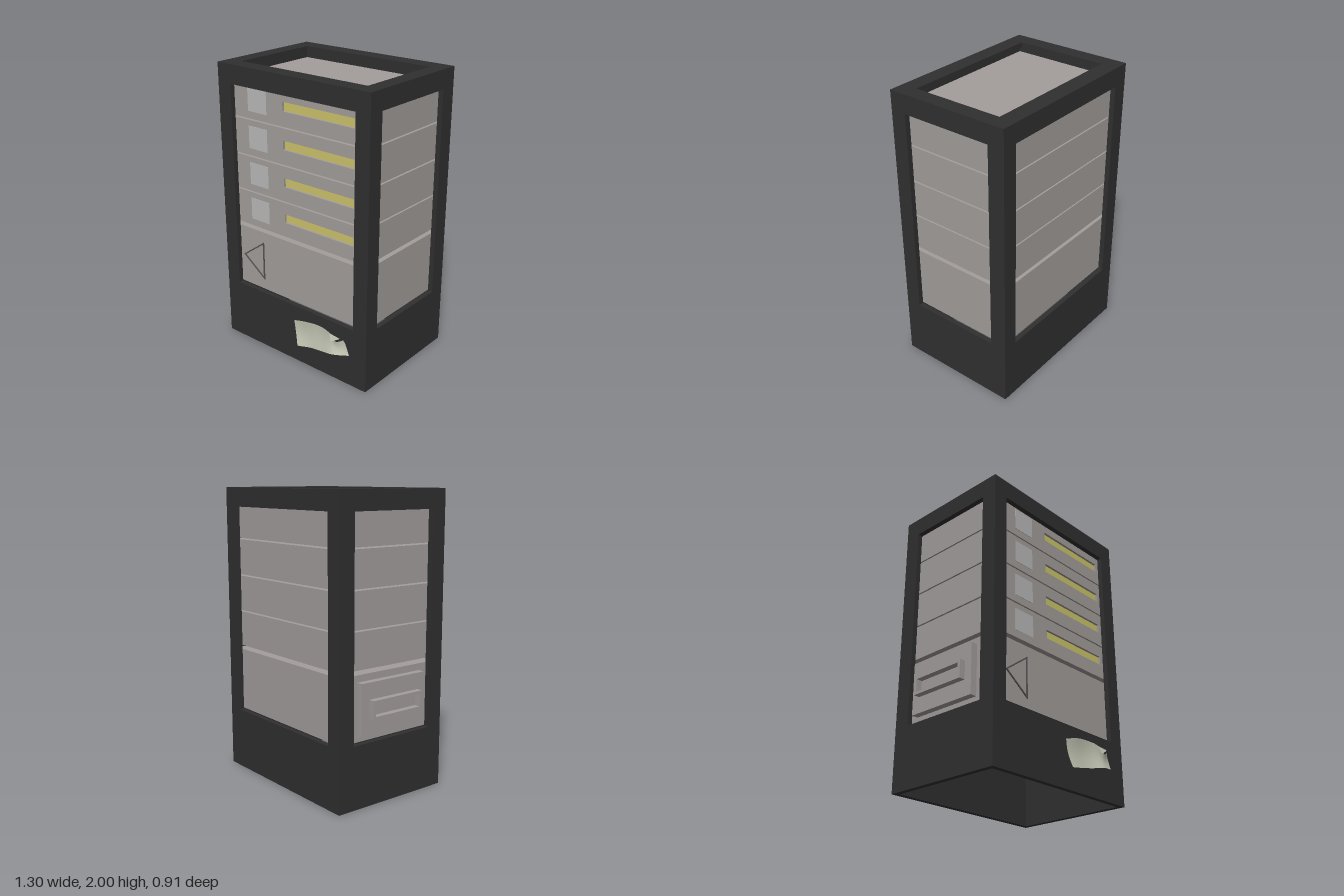
import * as THREE from 'three';

const mat = (color, side = THREE.FrontSide) => new THREE.MeshStandardMaterial({ color, side });
const frameMat = mat(0x303030);
const panelMat = mat(0xa39e9c);
const shellMat = mat(0xa39e9c, THREE.DoubleSide);
const windowMat = mat(0xbababa);
const slotMat = mat(0xcdc46c);
const trimMat = mat(0x555555);
const paperMat = mat(0xc6c9b6, THREE.DoubleSide);

// Cabinet limits, opening limits and the wall thickness
const X0 = -0.6, X1 = 0.65, Z0 = -0.46, Z1 = 0.415, H = 2, T = 0.035;
const OX0 = -0.49, OX1 = 0.542, OZ0 = -0.343, OZ1 = 0.303, OY0 = 0.425, OY1 = 1.87;
// Limits of the units inside
const UX0 = X0 + T, UX1 = X1 - T, UZ0 = Z0 + T, UZ1 = Z1 - T;

function add(parent, name, geometry, material) {
  const mesh = new THREE.Mesh(geometry, material);
  mesh.name = name;
  parent.add(mesh);
  return mesh;
}

// Box given by its limits
function box(x0, x1, y0, y1, z0, z1) {
  return new THREE.BoxGeometry(x1 - x0, y1 - y0, z1 - z0)
    .translate((x0 + x1) / 2, (y0 + y1) / 2, (z0 + z1) / 2);
}

// Rectangular slab with a rectangular hole, in the xy plane, growing towards +z
function holedSlab([a0, a1, b0, b1], [c0, c1, d0, d1], depth) {
  const ring = (p, q, r, s) => [[p, r], [q, r], [q, s], [p, s]].map(v => new THREE.Vector2(...v));
  const shape = new THREE.Shape(ring(a0, a1, b0, b1));
  shape.holes.push(new THREE.Path(ring(c0, c1, d0, d1).reverse()));
  return new THREE.ExtrudeGeometry(shape, { depth, bevelEnabled: false });
}

function createCabinet() {
  const g = new THREE.Group();
  g.name = 'cabinet';
  const wide = [X0, X1, 0, H], wideHole = [OX0, OX1, OY0, OY1];
  add(g, 'frontFrame', holedSlab(wide, wideHole, T).translate(0, 0, Z1 - T), frameMat);
  add(g, 'backFrame', holedSlab(wide, wideHole, T).translate(0, 0, Z0), frameMat);
  // Side walls: drawn in (-z, y), turned to face +x
  for (const [name, x] of [['leftFrame', X1 - T], ['rightFrame', X0]]) {
    add(g, name, holedSlab([-UZ1, -UZ0, 0, H], [-OZ1, -OZ0, OY0, OY1], T)
      .rotateY(Math.PI / 2).translate(x, 0, 0), frameMat);
  }
  // Top: drawn in (x, -z), laid flat
  add(g, 'topFrame', holedSlab([UX0, UX1, -UZ1, -UZ0], [OX0, OX1, -OZ1, -OZ0], T)
    .rotateX(-Math.PI / 2).translate(0, H - T, 0), frameMat);
  return g;
}

// Shelf unit with a recessed coloured slot and a small window
function createShelfUnit(y0, y1, base) {
  const g = new THREE.Group();
  g.name = 'shelfUnit';
  const d = 0.02, s0 = base + 0.1, s1 = base + 0.162;
  add(g, 'unitBody', box(UX0, UX1, y0, y1, UZ0, UZ1 - d), panelMat);
  add(g, 'unitFront', holedSlab([UX0, UX1, y0, y1], [-0.065, 0.512, s0, s1], d)
    .translate(0, 0, UZ1 - d), panelMat);
  add(g, 'slot', box(-0.065, 0.512, s0, s1, UZ1 - d, UZ1 - d + 0.004), slotMat);
  add(g, 'window', box(-0.368, -0.203, base + 0.05, base + 0.204, UZ1 - 0.01, UZ1 + 0.003), windowMat);
  return g;
}

// Lower unit, open underneath, with a triangular outline on its front
function createLowerUnit() {
  const g = new THREE.Group();
  g.name = 'lowerUnit';
  const y0 = 0.432, y1 = 0.866, t = 0.008;
  add(g, 'lowerTop', box(UX0, UX1, y1 - t, y1, UZ0, UZ1), shellMat);
  add(g, 'lowerFront', box(UX0, UX1, y0, y1 - t, UZ1 - t, UZ1), shellMat);
  add(g, 'lowerBack', box(UX0, UX1, y0, y1 - t, UZ0, UZ0 + t), shellMat);
  add(g, 'lowerLeft', box(UX1 - t, UX1, y0, y1 - t, UZ0 + t, UZ1 - t), shellMat);
  add(g, 'lowerRight', box(UX0, UX0 + t, y0, y1 - t, UZ0 + t, UZ1 - t), shellMat);

  const triangle = (x0, x1, h) => [[x0, 0.65], [x1, 0.65 - h], [x1, 0.65 + h]]
    .map(p => new THREE.Vector2(...p));
  const outline = new THREE.Shape(triangle(-0.46, -0.265, 0.142));
  outline.holes.push(new THREE.Path(triangle(-0.445, -0.274, 0.124).reverse()));
  add(g, 'triangleOutline', new THREE.ExtrudeGeometry(outline, { depth: 0.02, bevelEnabled: false })
    .translate(0, 0, UZ1 - 0.014), trimMat);
  return g;
}

// Side hatch: a plate with a hollow rectangular collar
function createHatch() {
  const g = new THREE.Group();
  g.name = 'sideHatch';
  add(g, 'hatchPlate', box(-0.612, UX0, 0.475, 0.82, -0.29, 0.24), panelMat);
  add(g, 'hatchCollar', holedSlab([-0.185, 0.23, 0.585, 0.71], [-0.165, 0.21, 0.605, 0.69], 0.043)
    .rotateY(Math.PI / 2).translate(-0.655, 0, 0), panelMat);
  return g;
}

// Crumpled sheet with one corner folded over
function createPaper() {
  const g = new THREE.Group();
  g.name = 'paperSheet';
  const curve = pts => new THREE.CatmullRomCurve3(pts.map(p => new THREE.Vector3(...p)));
  const top = curve([[0.045, 0.32, 0.427], [0.16, 0.35, 0.432], [0.275, 0.36, 0.428],
    [0.365, 0.348, 0.436], [0.42, 0.305, 0.44], [0.472, 0.328, 0.425]]);
  const bottom = curve([[0.085, 0.14, 0.443], [0.2, 0.163, 0.432], [0.3, 0.182, 0.44],
    [0.39, 0.203, 0.453], [0.45, 0.213, 0.44], [0.515, 0.225, 0.419]]);
  const sheet = new THREE.PlaneGeometry(1, 1, 20, 8);
  const pos = sheet.attributes.position;
  for (let i = 0; i < pos.count; i++) {
    const u = pos.getX(i) + 0.5, v = 0.5 - pos.getY(i);
    const p = top.getPoint(u).lerp(bottom.getPoint(u), v);
    const bulge = Math.sin(Math.PI * v);
    pos.setXYZ(i, p.x - 0.006 * bulge * (1 - u), p.y, Math.max(0.417, p.z - 0.008 * bulge));
  }
  sheet.computeVertexNormals();
  add(g, 'sheet', sheet, paperMat);

  const flap = new THREE.BufferGeometry().setFromPoints([
    [0.365, 0.347, 0.438], [0.385, 0.295, 0.45], [0.455, 0.338, 0.438],
  ].map(p => new THREE.Vector3(...p)));
  flap.computeVertexNormals();
  add(g, 'foldedCorner', flap, paperMat);
  return g;
}

export function createModel() {
  const model = new THREE.Group();
  model.name = 'cabinetModel';
  model.add(createCabinet(), createLowerUnit(), createHatch(), createPaper());
  for (let i = 0; i < 4; i++) {
    const y = 0.895 + i * 0.2533;
    model.add(createShelfUnit(y, y + 0.243, y));
  }
  return model;
}
